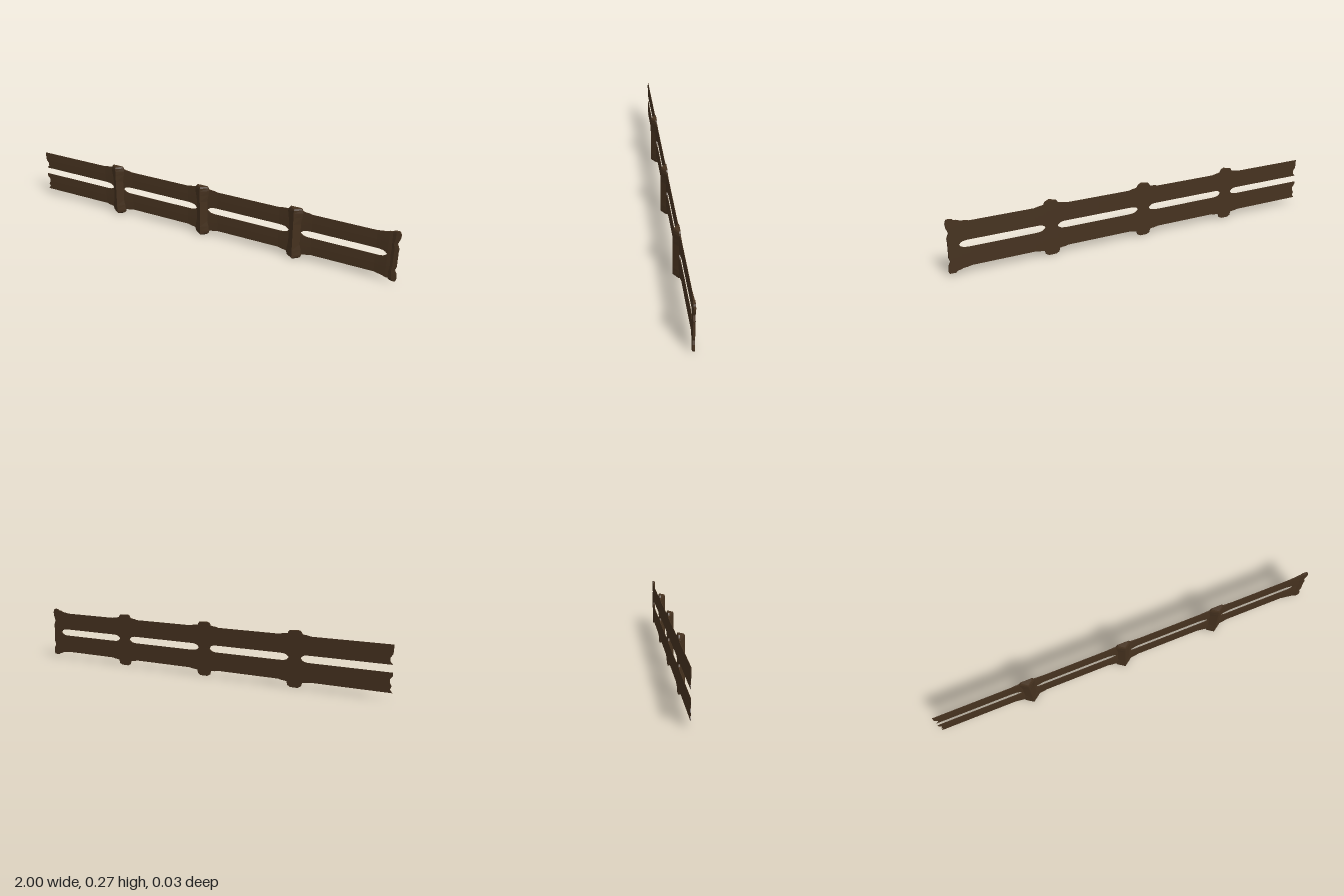
import * as THREE from 'three';

const wood = new THREE.MeshStandardMaterial({ color: 0x46321f, roughness: 1, flatShading: true, side: THREE.DoubleSide });
const POSTS = [-0.52, -0.015, 0.49, 0.975];
const BACK = -0.016;

// Joins equal-sized rings into a closed solid; each ring runs along its front, then back along its rear.
function loft(name, rings) {
  const n = rings[0].length;
  const index = [];
  const quad = (a, b, c, d) => index.push(a, b, c, a, c, d);
  for (let i = 0; i < rings.length - 1; i++) {
    for (let j = 0; j < n; j++) {
      const k = (j + 1) % n;
      quad(i * n + j, i * n + k, (i + 1) * n + k, (i + 1) * n + j);
    }
  }
  const last = (rings.length - 1) * n;
  for (let j = 0; j < n / 2 - 1; j++) {
    quad(n - 1 - j, n - 2 - j, j + 1, j);
    quad(last + j, last + j + 1, last + n - 2 - j, last + n - 1 - j);
  }
  const geometry = new THREE.BufferGeometry();
  geometry.setAttribute('position', new THREE.Float32BufferAttribute(rings.flat(2), 3));
  geometry.setIndex(index);
  geometry.computeVertexNormals();
  const mesh = new THREE.Mesh(geometry, wood);
  mesh.name = name;
  return mesh;
}

// Rounded widening of a rail as it meets the nearest post
function flare(x) {
  const d = Math.min(...POSTS.map((p) => Math.abs(x - p)));
  return Math.max(0, 1 - Math.max(0, d - 0.028) / 0.055);
}

// Thin rail; notches gives the broken left end, from top to bottom
function rail(name, bottom, top, upper, notches) {
  const stations = [-1, -0.98];
  for (const p of POSTS) {
    for (const d of [-0.25, -0.085, -0.065, -0.05, -0.04, -0.028, 0.028, 0.04, 0.05, 0.065, 0.085]) {
      if (p + d < 0.985) stations.push(p + d);
    }
  }
  stations.push(0.985);
  const rings = stations.map((x, i) => {
    const f = flare(x);
    const inner = 0.019 * f ** 4;
    const outer = 0.004 * Math.min(1, f * 4) + 0.008 * f ** 4;
    const y1 = top + (upper ? outer : inner);
    const y0 = bottom - (upper ? inner : outer);
    const front = [];
    const rear = [];
    notches.forEach((cut, j) => {
      const t = j / (notches.length - 1);
      const y = y1 + (y0 - y1) * t;
      const px = i === 0 ? x + cut : x;
      front.push([px, y, BACK + 0.002 + 0.005 * f + 0.001 * Math.sin(Math.PI * t)]);
      rear.unshift([px, y, BACK]);
    });
    return [...front, ...rear];
  });
  return loft(name, rings);
}

// Post with a ridged front, flat back and swollen ends
function post(x) {
  const rows = [
    [0, 0.02, 0.006], [0.008, 0.034, 0.016], [0.024, 0.039, 0.016], [0.05, 0.036, 0.016], [0.08, 0.031, 0.016],
    [0.19, 0.031, 0.016], [0.225, 0.036, 0.016], [0.25, 0.039, 0.016], [0.264, 0.034, 0.016], [0.272, 0.028, 0.012],
  ];
  return loft('post', rows.map(([y, w, z]) => [
    [x - w, y, -0.009], [x, y, z], [x + w, y, -0.009],
    [x + w, y, BACK], [x, y, BACK], [x - w, y, BACK],
  ]));
}

// Flat broken half post closing the right end
function endPost() {
  const rows = [
    [0.012, 0.966, 0.996], [0.024, 0.956, 1], [0.05, 0.954, 0.997], [0.068, 0.957, 0.988], [0.085, 0.958, 0.995],
    [0.16, 0.958, 0.995], [0.18, 0.958, 0.997], [0.205, 0.957, 0.987], [0.23, 0.956, 0.997],
    [0.25, 0.955, 1], [0.262, 0.958, 0.997], [0.27, 0.968, 0.992],
  ];
  return loft('endPost', rows.map(([y, l, r]) => [
    [l, y, -0.01], [(l + r) / 2, y, -0.004], [r, y, -0.006],
    [r, y, BACK], [(l + r) / 2, y, BACK], [l, y, BACK],
  ]));
}

export function createModel() {
  const fence = new THREE.Group();
  fence.name = 'fence';
  fence.add(rail('upperRail', 0.16, 0.25, true, [0, 0, 0, 0.004, 0.015, 0.015, 0.002]));
  fence.add(rail('lowerRail', 0.033, 0.125, false, [0, 0, 0.014, 0.014, 0.005, 0.012, 0]));
  for (const x of POSTS.slice(0, 3)) fence.add(post(x));
  fence.add(endPost());
  return fence;
}
